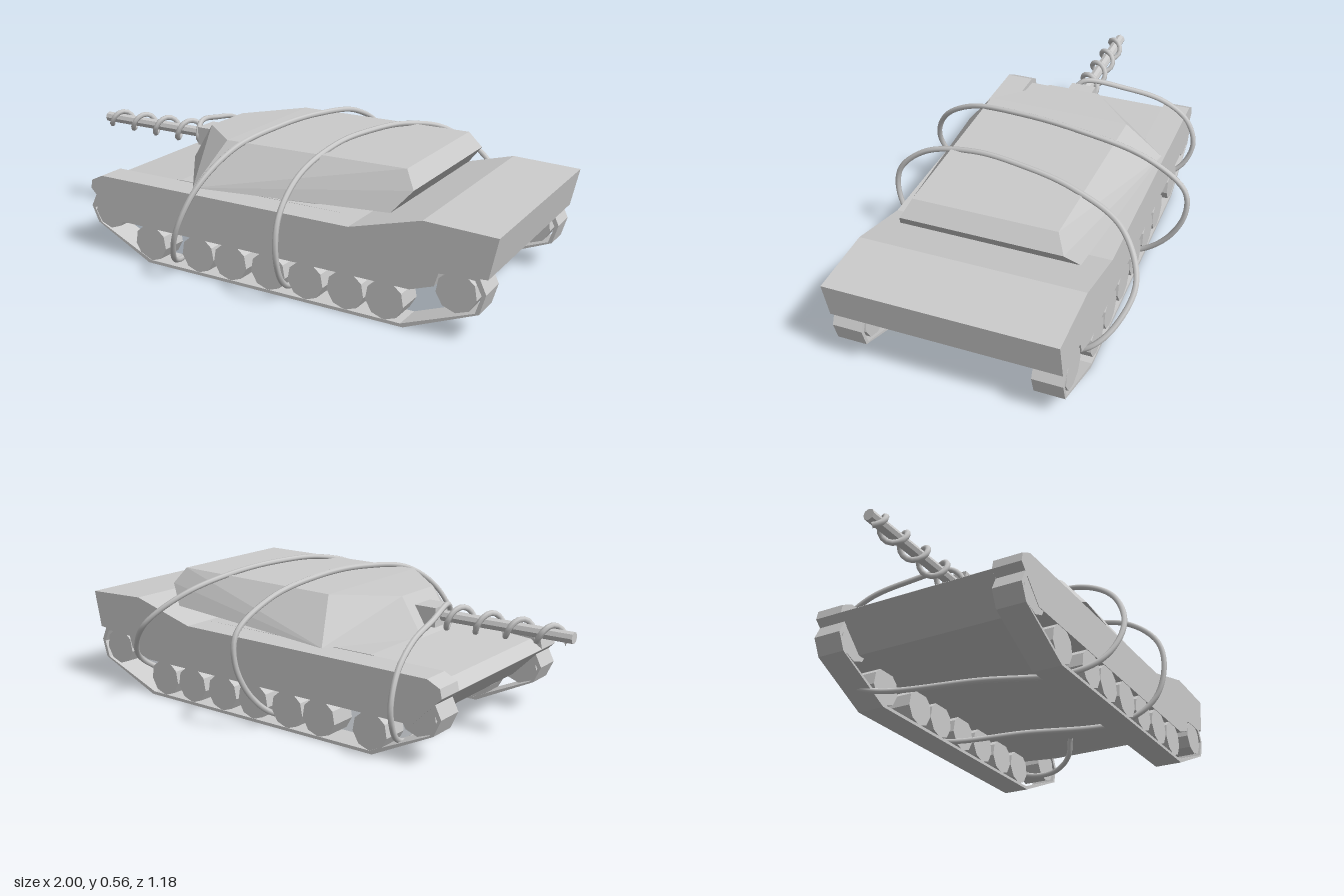
import * as THREE from 'three';
import { ConvexGeometry } from 'three/addons/geometries/ConvexGeometry.js';

const ZC = 0.018; // middle of the vehicle across its width
const flat = new THREE.MeshStandardMaterial({ color: 0xcccccc, flatShading: true });
const smooth = new THREE.MeshStandardMaterial({ color: 0xcccccc });

function add(parent, name, geometry, material = flat) {
  const mesh = new THREE.Mesh(geometry, material);
  mesh.name = name;
  parent.add(mesh);
  return mesh;
}

const points2 = (list) => list.map(([x, y]) => new THREE.Vector2(x, y));

// Side profile (x, y) extruded across z from z0 to z1
function slab(profile, z0, z1, hole) {
  const shape = new THREE.Shape(points2(profile));
  if (hole) shape.holes.push(new THREE.Path(points2(hole)));
  const g = new THREE.ExtrudeGeometry(shape, { depth: z1 - z0, bevelEnabled: false });
  return g.translate(0, 0, z0);
}

export function createModel() {
  const tank = new THREE.Group();
  tank.name = 'wrappedTank';

  // Central hull with sloping nose and tail
  const inner = 0.315, outer = 0.428;
  add(tank, 'hull', slab([
    [-0.73, 0.275], [-0.61, 0.153], [0.69, 0.153], [0.97, 0.255], [1, 0.405],
    [0.73, 0.415], [0.45, 0.338], [-0.36, 0.338], [-0.68, 0.31],
  ], ZC - inner, ZC + inner));

  // Skirts, tracks and wheels on both sides
  const skirt = [
    [-0.73, 0.275], [-0.61, 0.158], [0.69, 0.158], [0.78, 0.19], [0.795, 0.24],
    [0.97, 0.255], [1, 0.405], [0.73, 0.415], [0.45, 0.338], [-0.67, 0.335], [-0.722, 0.31],
  ];
  const track = [
    [-0.447, 0.01], [0.67, 0.01], [0.945, 0.125], [0.966, 0.2], [0.94, 0.255],
    [0.8, 0.265], [-0.6, 0.265], [-0.705, 0.25], [-0.73, 0.2], [-0.7, 0.135],
  ];
  const trackInside = track.map(([x, y]) => [0.12 + (x - 0.12) * 0.982, 0.135 + (y - 0.135) * 0.9]);
  const wheels = [
    [-0.635, 0.195], [-0.435, 0.095], [-0.205, 0.095], [-0.055, 0.095], [0.115, 0.095],
    [0.275, 0.095], [0.44, 0.095], [0.595, 0.095], [0.86, 0.185],
  ];
  for (const [label, side] of [['front', 1], ['back', -1]]) {
    const running = new THREE.Group();
    running.name = label + 'RunningGear';
    tank.add(running);
    const z0 = side > 0 ? ZC + inner : ZC - outer;
    const z1 = z0 + outer - inner;
    add(running, 'skirt', slab(skirt, z0, z1));
    add(running, 'track', slab(track, z0, z1, trackInside));
    for (const [x, y] of wheels) {
      const wheel = add(running, 'wheel', new THREE.CylinderGeometry(0.075, 0.075, z1 - z0 - 0.004, 9));
      wheel.rotation.x = Math.PI / 2;
      wheel.position.set(x, y, (z0 + z1) / 2);
    }
  }

  // Faceted turret: (x, y, half width) stations of the roof, rim and rear ridge
  const stations = [
    [-0.355, 0.515, 0.108], [-0.15, 0.527, 0.29], [0.597, 0.532, 0.276],
    [-0.445, 0.368, 0.108], [-0.22, 0.362, 0.423], [0.573, 0.388, 0.35], [0.64, 0.468, 0.31],
  ];
  add(tank, 'turret', new ConvexGeometry(stations.flatMap(([x, y, w]) =>
    [1, -1].map((s) => new THREE.Vector3(x, y, ZC + s * w)))));
  const ring = add(tank, 'turretRing', new THREE.CylinderGeometry(0.36, 0.36, 0.06, 16));
  ring.position.set(0.095, 0.355, ZC);
  ring.scale.z = 0.85;

  // Gun
  const gunY = 0.438, gunZ = 0.014;
  const mantlet = add(tank, 'mantlet', new THREE.BoxGeometry(0.1, 0.075, 0.105));
  mantlet.position.set(-0.42, gunY, gunZ);
  const barrel = add(tank, 'gunBarrel', new THREE.CylinderGeometry(0.022, 0.022, 0.6, 8));
  barrel.rotation.z = Math.PI / 2;
  barrel.position.set(-0.7, gunY, gunZ);

  // Long cable: coils along the gun, then loops round the body
  const path = [];
  const turns = 4, steps = 8;
  for (let i = 0; i <= turns * steps; i++) {
    const t = i / (turns * steps);
    const a = -Math.PI / 2 + (i / steps) * Math.PI * 2;
    const r = 0.031 + 0.014 * t;
    path.push([-0.98 + 0.49 * t, gunY + r * Math.sin(a), gunZ + r * Math.cos(a)]);
  }
  path.push(
    [-0.475, 0.43, 0.06], [-0.49, 0.482, 0.02], [-0.53, 0.46, -0.16], [-0.55, 0.42, -0.32],
    [-0.56, 0.34, -0.425], [-0.56, 0.22, -0.463], [-0.545, 0.1, -0.41], [-0.52, 0.045, -0.29],
    [-0.42, 0.04, 0.1], [-0.31, 0.045, 0.42], [-0.255, 0.11, 0.53], [-0.2, 0.24, 0.577],
    [-0.14, 0.4, 0.52], [-0.085, 0.515, 0.36], [-0.035, 0.555, 0.12], [0, 0.555, -0.12],
    [0.025, 0.51, -0.4], [0.045, 0.41, -0.565], [0.048, 0.3, -0.575], [0.04, 0.15, -0.5],
    [0.025, 0.045, -0.36], [0.1, 0.035, 0], [0.19, 0.04, 0.4], [0.217, 0.12, 0.52],
    [0.225, 0.25, 0.563], [0.228, 0.37, 0.54], [0.235, 0.48, 0.42], [0.262, 0.545, 0.2],
    [0.3, 0.556, 0], [0.35, 0.54, -0.22], [0.43, 0.48, -0.43], [0.56, 0.36, -0.53],
    [0.66, 0.24, -0.495], [0.71, 0.155, -0.42], [0.69, 0.085, -0.3], [0.6, 0.045, -0.12],
    [0.5, 0.065, 0], [0.45, 0.125, 0.035],
  );
  const curve = new THREE.CatmullRomCurve3(path.map((p) => new THREE.Vector3(...p)));
  add(tank, 'cable', new THREE.TubeGeometry(curve, 420, 0.011, 7), smooth);

  return tank;
}
